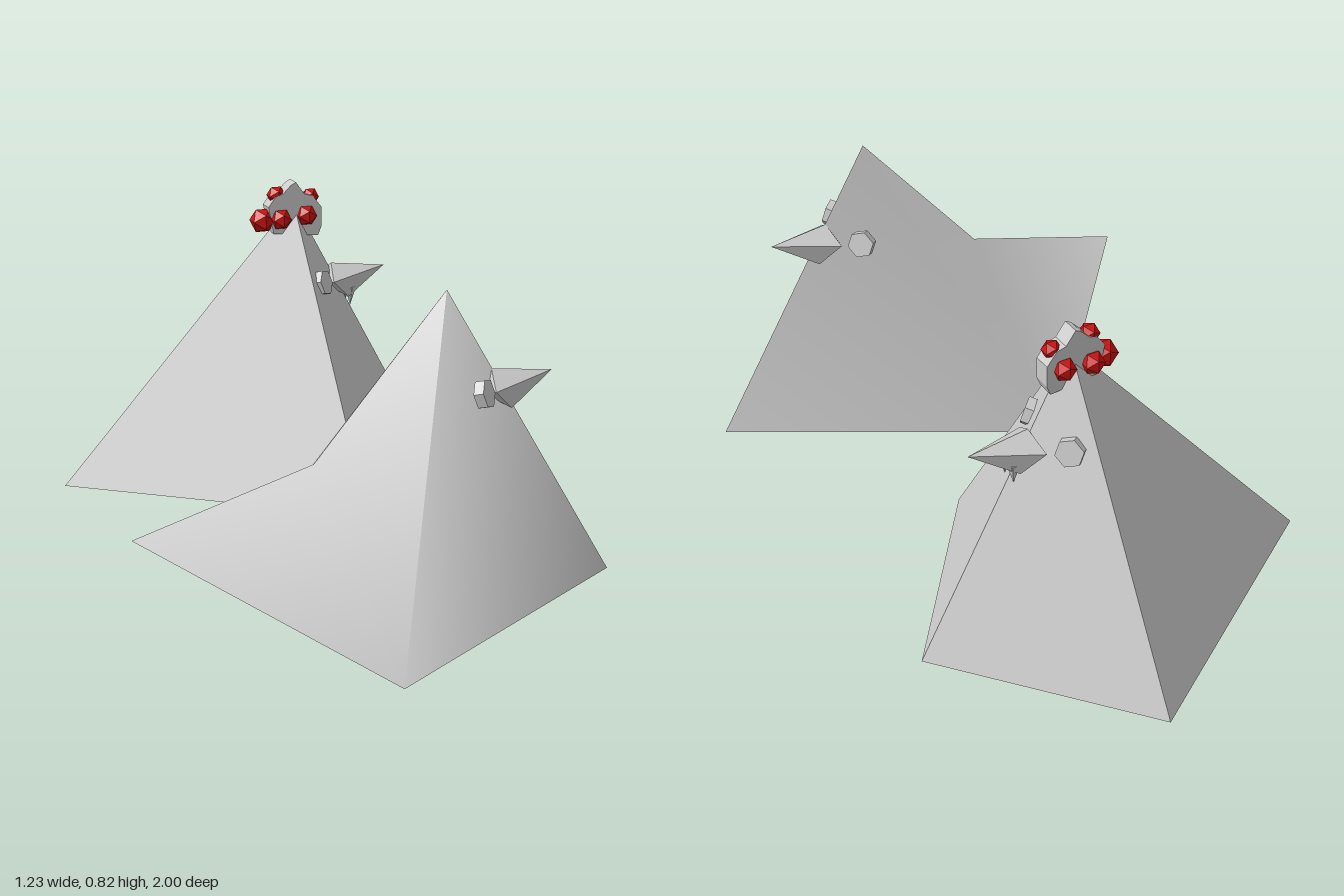
import * as THREE from 'three';
import { toCreasedNormals } from 'three/addons/utils/BufferGeometryUtils.js';

const grey = new THREE.MeshStandardMaterial({ color: 0xcccccc });
const flatGrey = new THREE.MeshStandardMaterial({ color: 0xcccccc, flatShading: true });
const red = new THREE.MeshStandardMaterial({ color: 0xcc1111, flatShading: true });

// Polyhedron from corner points and triangles; edges sharper than the crease stay hard
function poly(points, faces, crease) {
  const g = new THREE.BufferGeometry();
  g.setAttribute('position', new THREE.Float32BufferAttribute(points.flat(), 3));
  g.setIndex(faces.flat());
  return toCreasedNormals(g, crease);
}

function add(parent, name, geometry, material, x = 0, y = 0, z = 0) {
  const m = new THREE.Mesh(geometry, material);
  m.name = name;
  m.position.set(x, y, z);
  parent.add(m);
  return m;
}

// Five-sided pointed beak, two hexagonal eyes
function addFace(bird) {
  const ring = [[0.28, 0.575, 0], [0.265, 0.535, 0.062], [0.32, 0.482, 0.035],
    [0.32, 0.482, -0.035], [0.265, 0.535, -0.062]];
  const faces = [];
  for (let i = 0; i < 5; i++) {
    const j = (i + 1) % 5;
    faces.push([5, i, j], [6, j, i]);
  }
  add(bird, 'beak', poly([...ring, [0.44, 0.555, 0], [0.25, 0.52, 0]], faces, 0.05), flatGrey);
  for (const s of [-1, 1]) {
    const eye = add(bird, s > 0 ? 'leftSideEye' : 'rightSideEye',
      new THREE.CylinderGeometry(0.036, 0.036, 0.025, 6), flatGrey, 0.22, 0.545, s * 0.092);
    eye.quaternion.setFromUnitVectors(new THREE.Vector3(0, 1, 0),
      new THREE.Vector3(0.66, 0.25, s * 0.66).normalize());
  }
}

// Hen with a raised tail and a smooth back
function hen() {
  const bird = new THREE.Group();
  bird.name = 'hen';
  const points = [
    [0.16, 0.78, 0],        // head
    [0.615, 0.015, 0],      // breast
    [-0.13, 0.015, 0.46],   // side corners
    [-0.165, 0.015, -0.46],
    [-0.615, 0.26, 0],      // tail
    [-0.17, 0.39, 0],       // back of neck
  ];
  const faces = [[0, 2, 1], [0, 1, 3], [0, 5, 2], [0, 3, 5],
    [5, 4, 2], [5, 3, 4], [1, 2, 3], [4, 3, 2]];
  add(bird, 'henBody', poly(points, faces, 1.5), grey);
  addFace(bird);
  bird.position.z = 0.54;
  return bird;
}

// Plain pyramid bird with comb and wattles
function rooster() {
  const bird = new THREE.Group();
  bird.name = 'rooster';
  const points = [[0.165, 0.765, 0.005], [0.58, 0, -0.01], [0.2, 0, 0.49],
    [-0.5, 0, -0.025], [0.18, 0, -0.485]];
  const faces = [[1, 2, 3], [1, 3, 4]];
  for (let i = 1; i <= 4; i++) faces.push([0, (i % 4) + 1, i]);
  add(bird, 'roosterBody', poly(points, faces, 0.2), grey);
  addFace(bird);

  // Lobed comb slab
  const outline = [[0.1, 0.68], [0.23, 0.665], [0.24, 0.69], [0.24, 0.745], [0.215, 0.778],
    [0.19, 0.785], [0.165, 0.82], [0.15, 0.812], [0.128, 0.79], [0.105, 0.782], [0.085, 0.755]];
  const shape = new THREE.Shape(outline.map(([x, y]) => new THREE.Vector2(x, y)));
  add(bird, 'comb', new THREE.ExtrudeGeometry(shape, { depth: 0.046, bevelEnabled: false }),
    flatGrey, 0, 0, -0.018);

  // Red comb nubs: back, top and both sides
  const nubs = [[0.075, 0.715, 0.005, 0.037], [0.115, 0.783, 0.005, 0.027], [0.215, 0.772, 0.005, 0.025]];
  for (const s of [-1, 1]) {
    nubs.push([0.12, 0.72, 0.005 + s * 0.028, 0.03], [0.195, 0.725, 0.005 + s * 0.025, 0.03]);
  }
  nubs.forEach(([x, y, z, r]) => add(bird, 'combNub', new THREE.IcosahedronGeometry(r, 0), red, x, y, z));

  // Two small wattles under the beak
  for (const s of [-1, 1]) {
    const w = add(bird, 'wattle', new THREE.ConeGeometry(0.018, 0.055, 5), flatGrey, 0.33, 0.48, s * 0.02);
    w.rotation.z = Math.PI;
  }
  bird.position.z = -0.515;
  return bird;
}

export function createModel() {
  const group = new THREE.Group();
  group.name = 'birdPair';
  group.add(hen(), rooster());
  return group;
}
